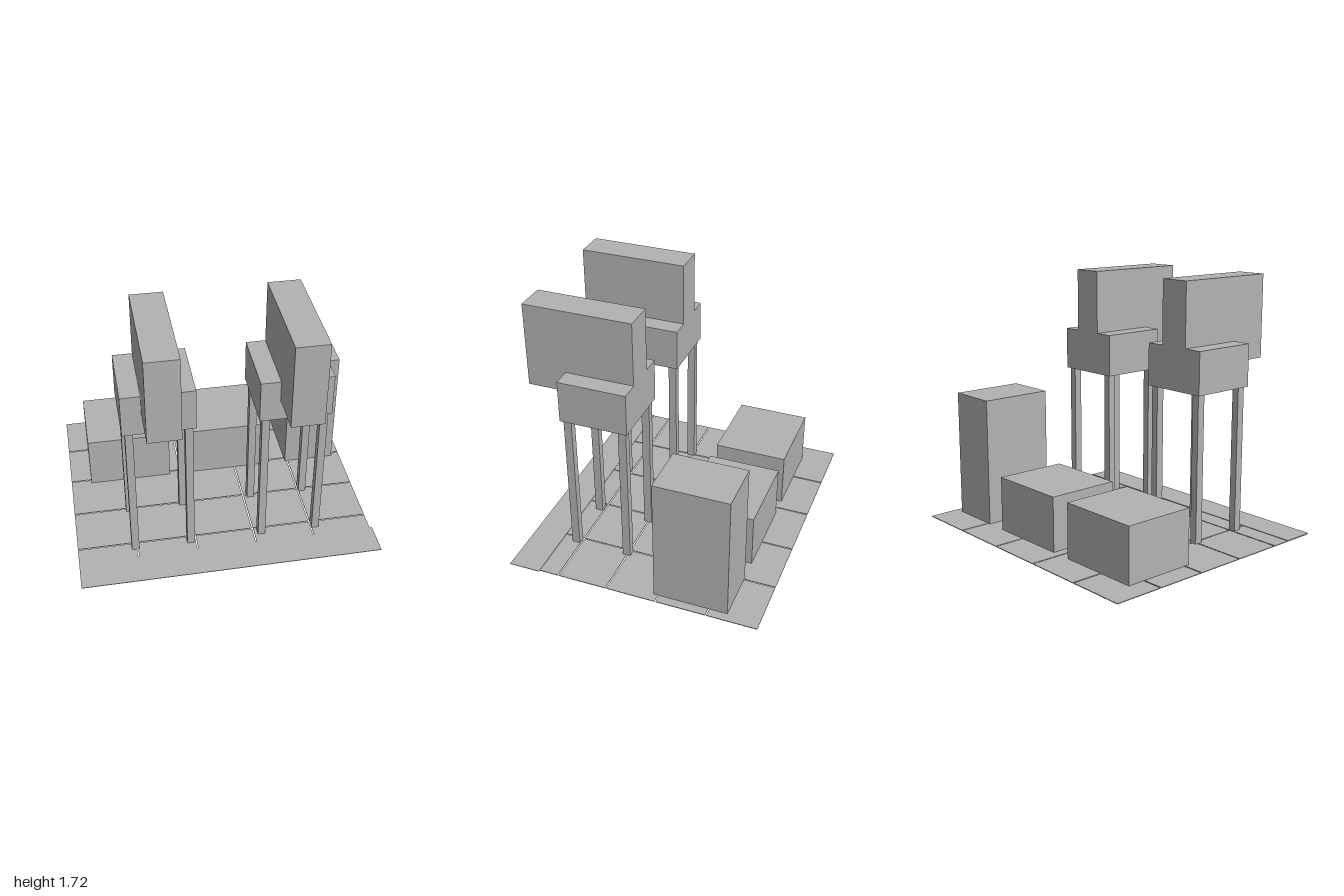
import * as THREE from 'three';

export function createModel() {
  const model = new THREE.Group();
  model.name = 'raisedPodsOnTiledFloor';
  const grey = new THREE.MeshStandardMaterial({ color: 0xb2b2b2 });
  grey.name = 'plainGrey';

  // Box given by its lower and upper limits on each axis
  function block(name, [x0, x1], [y0, y1], [z0, z1], parent = model) {
    const mesh = new THREE.Mesh(new THREE.BoxGeometry(x1 - x0, y1 - y0, z1 - z0), grey);
    mesh.position.set((x0 + x1) / 2, (y0 + y1) / 2, (z0 + z1) / 2);
    mesh.name = name;
    parent.add(mesh);
  }

  // Floor: five by five thin tiles with narrow gaps
  const floor = new THREE.Group();
  floor.name = 'floor';
  model.add(floor);
  const pitchX = 0.3985, pitchZ = 0.3425, gap = 0.008;
  for (let i = 0; i < 5; i++) {
    for (let j = 0; j < 5; j++) {
      const x = -1 + i * pitchX, z = -0.857 + j * pitchZ;
      block('floorTile', [x, x + pitchX - gap], [0, 0.005], [z, z + pitchZ - gap], floor);
    }
  }

  // Strip lying along the front edge of the floor
  block('frontStrip', [-1, 1], [0.005, 0.009], [0.643, 0.857]);

  // Two pods on four square posts, each with a tall block overhanging the front
  for (const [side, x] of [['right', -0.43], ['left', 0.429]]) {
    const pod = new THREE.Group();
    pod.name = side + 'Pod';
    model.add(pod);
    for (const px of [x - 0.187, x + 0.187]) {
      for (const pz of [0.169, 0.544]) {
        block('post', [px - 0.025, px + 0.025], [0.005, 1], [pz - 0.027, pz + 0.027], pod);
      }
    }
    block('lowerBody', [x - 0.232, x + 0.232], [1, 1.286], [0.126, 0.587], pod);
    block('upperBlock', [x - 0.105, x + 0.105], [1.145, 1.715], [0.126, 0.857], pod);
  }

  // Row of solid blocks at the back: two low, one tall
  const backZ = [-0.643, -0.144];
  block('lowBlockRight', [-0.859, -0.287], [0.005, 0.376], backZ);
  block('lowBlockMiddle', [-0.145, 0.424], [0.005, 0.376], backZ);
  block('tallBlockLeft', [0.572, 0.925], [0.005, 0.876], backZ);

  return model;
}
